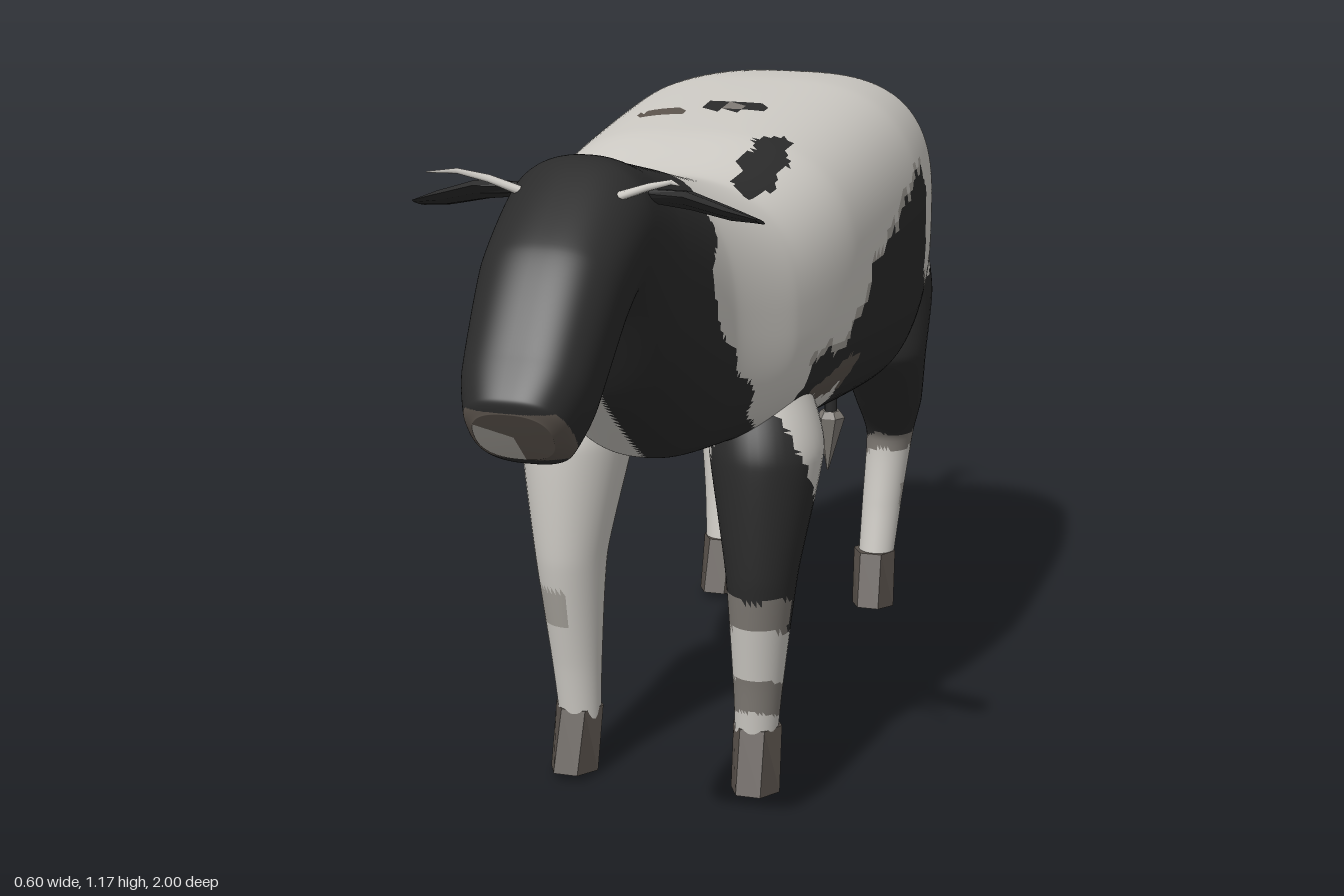
import * as THREE from 'three';

const mat = (name, color) => {
  const m = new THREE.MeshStandardMaterial({ color });
  m.name = name;
  return m;
};
// Indices used by the paint rules
const WHITE = 0, BLACK = 1, GREY = 2, HOOF = 3, MUZZLE = 4, UDDER = 5, PALE = 6;

const V = (x, y, z) => new THREE.Vector3(x, y, z);

// Skin over rings {c, u, v, n}: centre, two half axes (u x v points along the path), squareness n.
function loft(name, mats, rings, { around = 48, along = 80, smooth = true, paint = () => WHITE, flat = false } = {}) {
  const pos = [], lists = mats.map(() => []);
  if (!smooth) along = rings.length - 1;
  const lines = [];
  for (let j = 0; j < around; j++) {
    const a = (j / around) * Math.PI * 2;
    const pts = rings.map(({ c, u, v, n = 2 }) => {
      const sq = t => Math.sign(t) * Math.pow(Math.abs(t), 2 / n);
      return c.clone().addScaledVector(u, sq(Math.cos(a))).addScaledVector(v, sq(Math.sin(a)));
    });
    lines.push(smooth ? new THREE.CatmullRomCurve3(pts, false, 'catmullrom', 0.3).getPoints(along) : pts);
  }
  for (let i = 0; i <= along; i++) for (let j = 0; j < around; j++) pos.push(...lines[j][i].toArray());
  const first = pos.length / 3;
  pos.push(...rings[0].c.toArray(), ...rings[rings.length - 1].c.toArray());

  const at = k => V(pos[3 * k], pos[3 * k + 1], pos[3 * k + 2]);
  const tri = (a, b, c) => {
    const m = at(a).add(at(b)).add(at(c)).divideScalar(3);
    lists[paint(m.x, m.y, m.z)].push(a, b, c);
  };
  for (let j = 0; j < around; j++) {
    const k = (j + 1) % around, e = along * around;
    for (let i = 0; i < along; i++) {
      const p = i * around, q = p + around;
      tri(p + j, p + k, q + j);
      tri(p + k, q + k, q + j);
    }
    tri(first, k, j);
    tri(first + 1, e + j, e + k);
  }
  let geo = new THREE.BufferGeometry();
  geo.setAttribute('position', new THREE.Float32BufferAttribute(pos, 3));
  geo.setIndex(lists.flat());
  if (flat) geo = geo.toNonIndexed();
  geo.computeVertexNormals();
  let start = 0;
  lists.forEach((l, i) => {
    if (l.length) geo.addGroup(start, l.length, i);
    start += l.length;
  });
  const mesh = new THREE.Mesh(geo, mats);
  mesh.name = name;
  return mesh;
}

function inside(poly, a, b) {
  let hit = false;
  for (let i = 0, j = poly.length - 1; i < poly.length; j = i++) {
    const [ai, bi] = poly[i], [aj, bj] = poly[j];
    if ((bi > b) !== (bj > b) && a < ((aj - ai) * (b - bi)) / (bj - bi) + ai) hit = !hit;
  }
  return hit;
}
const spot = (x, z, cx, cz, rx, rz) => ((x - cx) / rx) ** 2 + ((z - cz) / rz) ** 2 < 1;

// Patch outlines as [z, y]
const flank = [[.235, .675], [.235, .765], [.12, .765], [-.02, .86], [-.23, .935], [-.42, .98], [-.43, .9],
  [-.42, .765], [-.51, .71], [-.59, .765], [-.71, .71], [-.8, .685], [-.8, .4], [.02, .4], [.04, .61], [.08, .685]];
const flankBrown = [[.2, .675], [.19, .71], [.09, .74], [.01, .73], [.06, .675]];
const neckLeft = [[.41, 1.3], [.43, 1.08], [.5, .92], [.41, .8], [.33, .7], [.27, .62], [.27, .4], [1.2, .4], [1.2, 1.3]];
const neckRight = [[.41, 1.3], [.44, 1.08], [.51, .95], [.56, .87], [.68, .84], [.75, .6], [1.2, .6], [1.2, 1.3]];

function paintBody(x, y, z) {
  // Nose end with its pale blaze
  if (z - y > .112 && z > .85) return y > .87 || y < .79 ? BLACK : spot(x, y, -.015, .822, .04, .022) ? PALE : MUZZLE;
  const wz = z + .008 * Math.sin(y * 70), wy = y + .008 * Math.sin(z * 60) + .005 * Math.sin(z * 131);
  if (inside(x > .005 ? neckLeft : neckRight, wz, wy)) return BLACK;
  // Pale underside between the dark sides
  if (y < .635 && spot(x, z, 0, -.02, .19, .28)) return WHITE;
  if (x > 0) {
    if (inside(flank, wz, wy)) return inside(flankBrown, z, y) ? MUZZLE : BLACK;
    if (z < .3 && inside(flank, wz, wy - .014)) return PALE;
  }
  if (x <= 0 && wy < .73 - .6 * (z + .12) ** 2 && z > -.42 && z < .16) return BLACK;
  // Small spots along the back
  if (y > .9) {
    const wx = x + .006 * Math.sin(z * 80);
    if (spot(wx, z, .01, -.1, .02, .018)) return GREY;
    if (spot(wx, z, .138, .165, .032, .12) || spot(wx, z, .01, -.1, .058, .038) || spot(wx, z, -.235, -.065, .026, .07)) return BLACK;
    if (spot(wx, z, -.1, -.05, .045, .03)) return MUZZLE;
    if (spot(wx, z, -.19, -.6, .018, .03)) return GREY;
    if (spot(wx, z, -.195, -.63, .032, .065)) return PALE;
  }
  return WHITE;
}

function paintFront(x, y, z) {
  if (x < 0) return y > .28 && y < .35 && x > -.225 && x < -.165 && z > .23 ? PALE : WHITE;
  const w = y + .008 * Math.sin(z * 60);
  if (w > .36) return z > .27 - Math.max(0, .62 - w) * .6 ? BLACK : WHITE;
  if (w > .3) return z > .25 ? GREY : BLACK;
  return w > .21 ? (z < .22 && w > .26 ? GREY : WHITE) : w > .15 ? GREY : WHITE;
}

function paintHind(x, y, z) {
  const w = y + .008 * Math.sin((x + z) * 50);
  if (w < .33) return w > .2 && w < .25 && z < -.72 ? PALE : WHITE;
  if (w < .365) return GREY;
  if (x > 0) return w < .73 ? BLACK : WHITE;
  return w < .61 && !(x < -.225 && w > .43) ? BLACK : WHITE;
}

export function createModel() {
  const cow = new THREE.Group();
  cow.name = 'cow';
  const mats = [mat('white hide', 0xcdcac4), mat('black hide', 0x2b2b2b), mat('grey hide', 0x7f7a74),
    mat('hoof', 0x57504a), mat('muzzle skin', 0x5c544d), mat('udder skin', 0xaaa299), mat('pale grey hide', 0xa5a19a)];

  // Torso, neck and head: top z, top y, bottom z, bottom y, half width, squareness
  const body = [
    [-.786, .86, -.783, .79, .07, 2.3],
    [-.775, .91, -.768, .73, .155, 2.5],
    [-.725, 1.02, -.735, .64, .22, 2.8],
    [-.6, 1.11, -.58, .57, .275, 3],
    [-.35, 1.134, -.35, .54, .3, 3],
    [.08, 1.107, .08, .593, .28, 2.8],
    [.28, 1.07, .29, .62, .23, 2.5],
    [.44, 1.11, .4, .632, .165, 2.3],
    [.56, 1.14, .6, .78, .135, 2.3],
    [.68, 1.165, .7, .93, .115, 2.3],
    [.85, 1.07, .74, .92, .107, 2.5],
    [.96, .94, .85, .815, .094, 2.7],
    [.998, .89, .9, .772, .076, 2.7],
    [.998, .868, .945, .79, .058, 2.5],
  ].map(([zt, yt, zb, yb, w, n]) => ({
    c: V(0, (yt + yb) / 2, (zt + zb) / 2), u: V(w, 0, 0), v: V(0, (yt - yb) / 2, (zt - zb) / 2), n,
  }));
  cow.add(loft('body', mats, body, { around: 132, along: 260, paint: paintBody }));

  // Rings stacked downwards: x, y, z, half width, half depth
  const down = (rows, s = 1) => rows.map(([x, y, z, rx, rz]) => ({
    c: V(s * x - .008, y, z), u: V(rx, 0, 0), v: V(0, 0, rz),
  }));
  const front = [[.13, .8, .19, .06, .06], [.15, .7, .19, .085, .085], [.165, .6, .2, .095, .11], [.168, .4, .237, .061, .073],
    [.162, .2, .235, .043, .044], [.158, .09, .232, .036, .034]];
  const hind = [[.13, .9, -.6, .08, .09], [.165, .78, -.62, .1, .125], [.182, .68, -.635, .095, .125], [.19, .57, -.6, .085, .092],
    [.187, .45, -.683, .066, .068], [.178, .36, -.748, .047, .052], [.168, .22, -.732, .04, .043], [.162, .09, -.704, .035, .034]];
  for (const s of [1, -1]) {
    const side = s > 0 ? 'left' : 'right';
    cow.add(loft(side + 'FrontLeg', mats, down(front, s), { around: 40, along: 80, paint: paintFront }));
    cow.add(loft(side + 'HindLeg', mats, down(hind, s), { around: 40, along: 80, paint: paintHind }));
    for (const [name, z0, z1] of [['FrontHoof', .23, .255], ['HindHoof', -.705, -.683]]) {
      const rings = down([[.16, .12, z0, .043, .042], [.163, .008, z1, .043, .057]], s);
      rings[1].v.y = .008;
      cow.add(loft(side + name, mats, rings, { around: 6, smooth: false, flat: true, paint: () => HOOF }));
    }

    // Ears and horns run sideways; the depth axis flips with the side to keep faces outward
    const out = (rows, tilt) => rows.map(([x, y, z, ry, rz]) => ({
      c: V(s * x, y, z), u: V(0, ry, 0), v: V(0, s * rz * tilt, s * rz),
    }));
    cow.add(loft(side + 'Ear', mats, out([[.08, 1.108, .64, .01, .018], [.16, 1.105, .65, .014, .045],
      [.22, 1.09, .655, .01, .04], [.262, 1.08, .65, .003, .028]], .3), { around: 8, smooth: false, flat: true, paint: () => BLACK }));
    cow.add(loft(side + 'Horn', mats, out([[.06, 1.115, .72, .008, .01], [.12, 1.137, .728, .006, .009],
      [.16, 1.15, .75, .004, .006], [.187, 1.156, .8, .001, .001]], 0), { around: 8, smooth: false, paint: () => WHITE }));
  }

  // Udder
  cow.add(loft('udder', mats, down([[0, .62, -.48, .07, .1], [0, .54, -.48, .085, .1],
    [0, .49, -.478, .075, .098], [0, .435, -.525, .045, .05]]), { around: 10, smooth: false, paint: () => UDDER }));

  // Tail: pale root, dark length, pointed tuft
  cow.add(loft('tailRoot', mats, down([[0, .96, -.862, .022, .008], [0, .9, -.91, .02, .016],
    [0, .83, -.96, .015, .02]]), { around: 8, smooth: false, paint: () => WHITE }));
  cow.add(loft('tail', mats, down([[0, .84, -.957, .015, .018], [.002, .32, -.972, .014, .016]]),
    { around: 8, smooth: false, paint: () => BLACK }));
  cow.add(loft('tailTuft', mats, down([[.002, .33, -.972, .02, .02], [.002, .315, -.972, .031, .027],
    [-.004, .195, -.975, .002, .002]]), { around: 6, smooth: false, flat: true, paint: () => GREY }));

  return cow;
}
